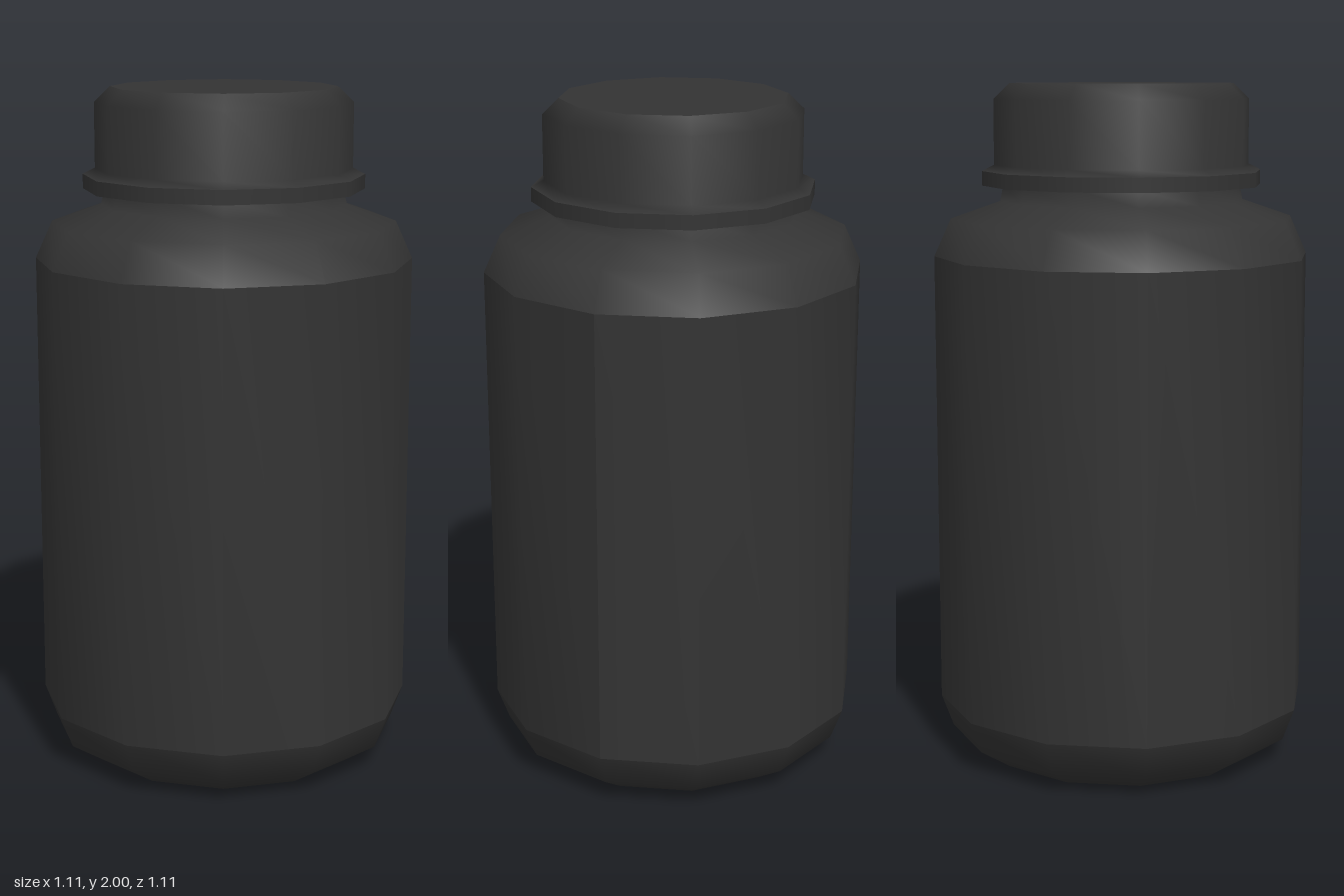
import * as THREE from 'three';

const SIDES = 12;

export function createModel() {
  const group = new THREE.Group();
  group.name = 'bottle';
  const material = new THREE.MeshStandardMaterial({ color: 0x333333 });

  // Each smooth band is its own lathe, so edges between bands stay crisp.
  function band(name, parent, profile, phiStart = 0) {
    const points = profile.map(([r, y]) => new THREE.Vector2(r, y));
    const geometry = new THREE.LatheGeometry(points, SIDES, phiStart);
    const mesh = new THREE.Mesh(geometry, material);
    mesh.name = name;
    parent.add(mesh);
    return mesh;
  }

  // Bottle body
  const body = new THREE.Group();
  body.name = 'body';
  group.add(body);
  band('base', body, [[0, 0], [0.42, 0], [0.52, 0.065], [0.555, 0.16]]);
  // The label wraps around and meets at a seam on the back
  const label = band('labelWall', body, [[0.555, 0.16], [0.555, 1.5]], Math.PI * 2 / 3);
  label.geometry.computeVertexNormals();
  band('shoulder', body, [[0.555, 1.5], [0.505, 1.61], [0.36, 1.66], [0.35, 1.71]]);

  // Screw cap with a flared rim
  const cap = new THREE.Group();
  cap.name = 'cap';
  group.add(cap);
  band('capUnderside', cap, [[0.33, 1.705], [0.413, 1.705]]);
  band('capRim', cap, [[0.413, 1.705], [0.413, 1.747]]);
  band('capWall', cap, [[0.413, 1.747], [0.377, 1.765], [0.377, 1.955], [0.33, 2]]);
  band('capTop', cap, [[0.33, 2], [0, 2]]);

  return group;
}
